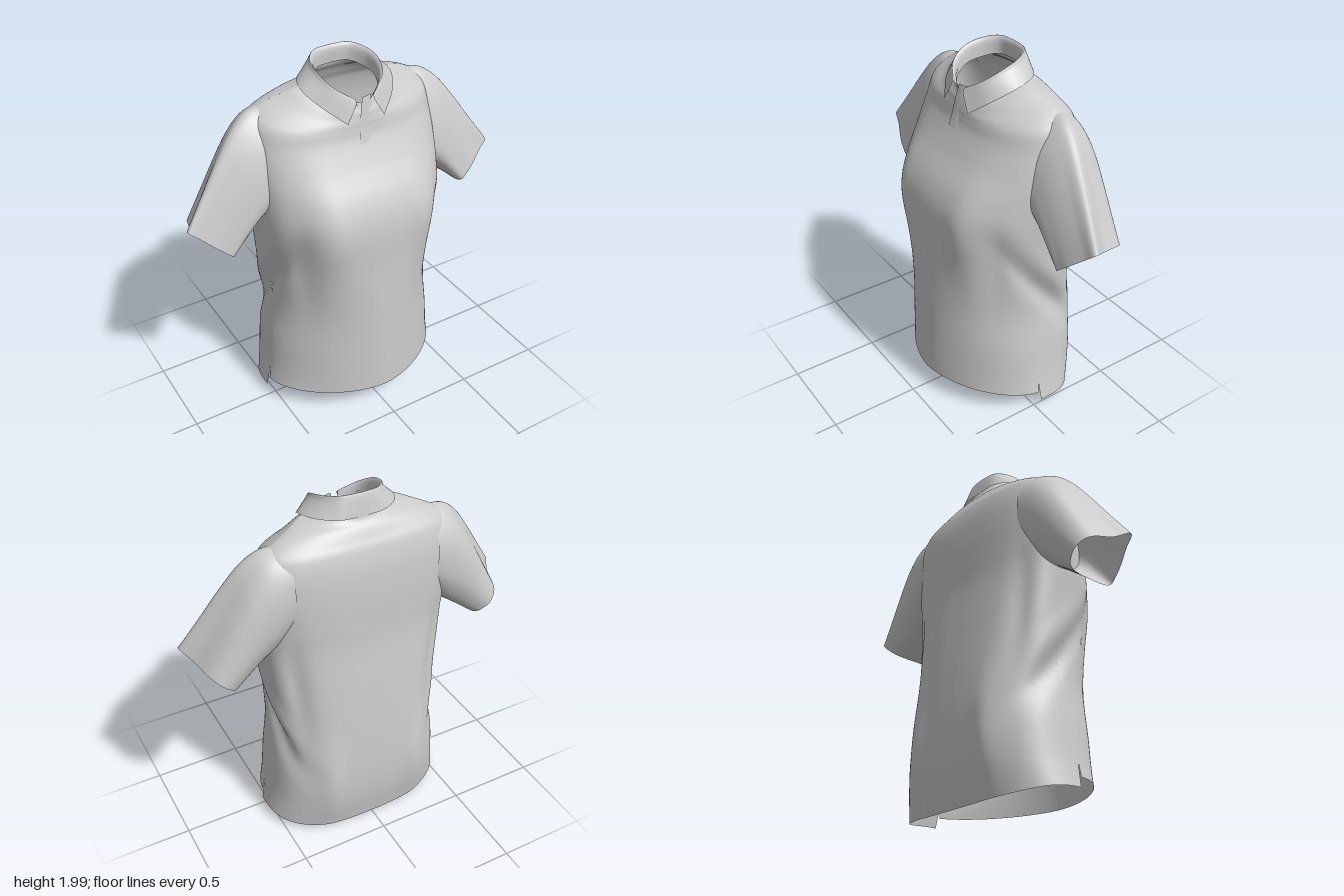
import * as THREE from 'three';
import { mergeVertices } from 'three/addons/utils/BufferGeometryUtils.js';

const cloth = new THREE.MeshStandardMaterial({ color: 0xcccccc, side: THREE.DoubleSide });
const V = (x, y, z) => new THREE.Vector3(x, y, z);
const lerp = THREE.MathUtils.lerp;

// Surface from point(u, v), u and v in 0..1; equal points are welded for smooth normals
function surface(name, nu, nv, patches) {
  const pos = [], idx = [];
  for (const point of patches) {
    const base = pos.length / 3;
    for (let j = 0; j <= nv; j++)
      for (let i = 0; i <= nu; i++) pos.push(...point(i / nu, j / nv).toArray());
    for (let j = 0; j < nv; j++)
      for (let i = 0; i < nu; i++) {
        const a = base + j * (nu + 1) + i, c = a + nu + 1;
        idx.push(a, a + 1, c, a + 1, c + 1, c);
      }
  }
  let geo = new THREE.BufferGeometry();
  geo.setAttribute('position', new THREE.Float32BufferAttribute(pos, 3));
  geo.setIndex(idx);
  geo = mergeVertices(geo, 1e-5);
  geo.computeVertexNormals();
  const mesh = new THREE.Mesh(geo, cloth);
  mesh.name = name;
  return mesh;
}

// Smooth interpolation of every column of a table at row position s
function sample(rows, s) {
  const last = rows.length - 1;
  const i = Math.min(Math.floor(s), last - 1), t = s - i;
  return rows[i].map((b, k) => {
    const c = rows[i + 1][k];
    const a = i > 0 ? rows[i - 1][k] : 2 * b - c;
    const d = i + 2 <= last ? rows[i + 2][k] : 2 * c - b;
    return b + 0.5 * t * (c - a + t * (2 * a - 5 * b + 4 * c - d + t * (3 * (b - c) + d - a)));
  });
}

// Body sections: side y, half width, front z, back z, side z, front y shift, back y shift, front and back squareness
const body = [
  [0.00, 0.555, 0.402, -0.358, -0.01, 0, 0, 1.70, 2.6],
  [0.20, 0.520, 0.400, -0.390, -0.01, 0, 0, 1.72, 2.8],
  [0.40, 0.500, 0.395, -0.398, -0.02, 0, 0, 1.78, 2.8],
  [0.66, 0.475, 0.388, -0.385, -0.05, 0, 0, 1.90, 2.7],
  [0.95, 0.497, 0.378, -0.360, -0.08, 0, 0, 2.10, 2.6],
  [1.20, 0.520, 0.370, -0.335, -0.08, 0, 0, 2.35, 2.6],
  [1.35, 0.530, 0.328, -0.330, -0.10, 0, 0, 2.4, 2.6],
  [1.50, 0.535, 0.240, -0.325, -0.11, 0, 0, 2.4, 2.7],
  [1.64, 0.525, 0.180, -0.313, -0.12, -0.02, 0, 2.3, 2.7],
  [1.74, 0.503, 0.164, -0.290, -0.12, -0.06, 0, 2.2, 2.6],
  [1.79, 0.455, 0.160, -0.265, -0.12, -0.08, 0, 2.1, 2.3],
  [1.835, 0.362, 0.155, -0.240, -0.10, -0.10, 0, 2.0, 2.1],
  [1.87, 0.270, 0.150, -0.217, -0.06, -0.11, -0.01, 2, 2],
  [1.89, 0.200, 0.142, -0.205, -0.04, -0.11, 0, 2, 2],
  [1.93, 0.165, 0.132, -0.185, -0.03, -0.12, 0.02, 2, 2],
];
const bell = (d, width) => Math.exp(-((d / width) ** 2));

// One half of the body; the halves part below the first section to form the side vents
function panel(front) {
  return (u, v) => {
    const angle = u * Math.PI, dir = front ? 1 : -1;
    const cos = Math.cos(angle), sin = Math.max(0, Math.sin(angle));
    const hem = front ? 0.125 + 0.018 * sin : 0.07 - 0.065 * Math.min(1, sin ** 1.5);
    const s = v < 0.1 ? lerp(hem / 0.2, 1, v / 0.1) : lerp(1, body.length - 1, (v - 0.1) / 0.9);
    const [y0, w, zF, zB, zc, shiftF, shiftB, nF, nB] = sample(body, s);
    const n = front ? nF : nB;
    const flat = sin < 1e-6 ? 0 : sin ** (2 / n);
    const cx = -dir * Math.sign(cos) * Math.abs(cos) ** (2 / n);
    let x = cx * w, z = zc + ((front ? zF : zB) - zc) * flat;
    const y = y0 + (front ? shiftF : shiftB) * flat;
    if (s < 1) z += dir * 0.014 * (1 - s) * cos ** 8;
    // Fullness of the chest, or of the lower back
    z += front ? 0.026 * bell(Math.abs(x) - 0.28, 0.1) * bell(y - 1.15, 0.28)
      : -0.022 * bell(Math.abs(x) - 0.27, 0.08) * bell(y - 0.35, 0.3);
    // Diagonal drape folds at the sides and upright folds beside chest and back
    const line = 0.45 + (z + 0.3) * 1.27;
    const range = bell(y - 0.75, 0.36), side = cx * cx;
    x *= 1 - range * side * (0.07 * bell(y - line, 0.09) - 0.025 * bell(y - line - 0.18, 0.09));
    z -= dir * 0.025 * bell(Math.abs(cx) - 0.8, 0.1) * bell(y - 1.0, 0.28);
    return V(x, y, z);
  };
}

// Sleeve: upper and lower seam lines, with ring outlines as [drop from top, z]
const sleeveTop = [[0.40, 1.795], [0.51, 1.782], [0.605, 1.715], [0.70, 1.597], [0.81, 1.44], [0.92, 1.285]];
const sleeveLow = [[0.40, 1.34], [0.49, 1.255], [0.55, 1.21], [0.60, 1.17], [0.65, 1.13], [0.70, 1.09]];
const shoulderRing = [[0, -0.12], [0.15, -0.03], [0.5, 0.052], [0.85, 0.062], [1, -0.03], [1, -0.18],
  [0.82, -0.26], [0.5, -0.285], [0.2, -0.255], [0.04, -0.19]];
const cuffRing = [[0, 0], [0.25, 0.025], [0.75, 0.066], [0.97, 0.05], [1, -0.08], [0.97, -0.2],
  [0.75, -0.255], [0.5, -0.247], [0.34, -0.2], [0.2, -0.09]];
const ring = (pts) => new THREE.CatmullRomCurve3(pts.map(([d, z]) => V(d, z, 0)), true);

function sleeve(sign) {
  const a = ring(shoulderRing), b = ring(cuffRing);
  return (u, v) => {
    const around = (sign > 0 ? u : 1 - u) % 1;
    const p = a.getPoint(around).lerp(b.getPoint(around), v ** 1.5);
    const top = sample(sleeveTop, v * 5), low = sample(sleeveLow, v * 5);
    return V(sign * lerp(top[0], low[0], p.x), lerp(top[1], low[1], p.x), p.y);
  };
}

// Collar: half outlines from centre back to the front points
const half = (...pts) => new THREE.CatmullRomCurve3(pts.map((p) => V(...p)));
const standEdge = half([0, 1.9, -0.175], [0.09, 1.9, -0.155], [0.145, 1.88, -0.08], [0.155, 1.86, 0],
  [0.12, 1.82, 0.08], [0.025, 1.79, 0.135]);
const foldEdge = half([0, 1.995, -0.185], [0.1, 1.993, -0.17], [0.16, 1.978, -0.1], [0.175, 1.95, 0],
  [0.14, 1.9, 0.09], [0.05, 1.84, 0.15]);
const leafEdge = half([0, 1.88, -0.213], [0.13, 1.885, -0.203], [0.222, 1.885, -0.13], [0.255, 1.87, -0.02],
  [0.205, 1.81, 0.09], [0.105, 1.728, 0.17]);

function collar(u, v) {
  const t = Math.abs(2 * u - 1), sign = u < 0.5 ? -1 : 1;
  const fold = foldEdge.getPoint(t);
  const near = (k, drop) => V(fold.x * k, fold.y - drop, (fold.z + 0.02) * k - 0.02);
  const p = new THREE.CatmullRomCurve3([
    standEdge.getPoint(t), near(0.92, 0.018), fold, near(1.06, 0.02), leafEdge.getPoint(t),
  ]).getPoint(v);
  p.x *= sign;
  return p;
}

// Front placket: narrow overlapping strip below the collar
const placketLine = [[1.61, 0.188, -0.042], [1.68, 0.17, -0.035], [1.76, 0.157, -0.025], [1.84, 0.142, -0.008]];
function placket(u, v) {
  const [y, z, left] = sample(placketLine, v * 3);
  return V(lerp(left, 0.05, u), y, z - 0.016 * u + 0.004 * Math.sin(u * Math.PI));
}

export function createModel() {
  const shirt = new THREE.Group();
  shirt.name = 'shirt';
  shirt.add(surface('body', 120, 110, [panel(true), panel(false)]));
  shirt.add(surface('leftSleeve', 60, 30, [sleeve(1)]));
  shirt.add(surface('rightSleeve', 60, 30, [sleeve(-1)]));
  shirt.add(surface('collar', 64, 20, [collar]));
  shirt.add(surface('placket', 6, 12, [placket]));
  return shirt;
}
